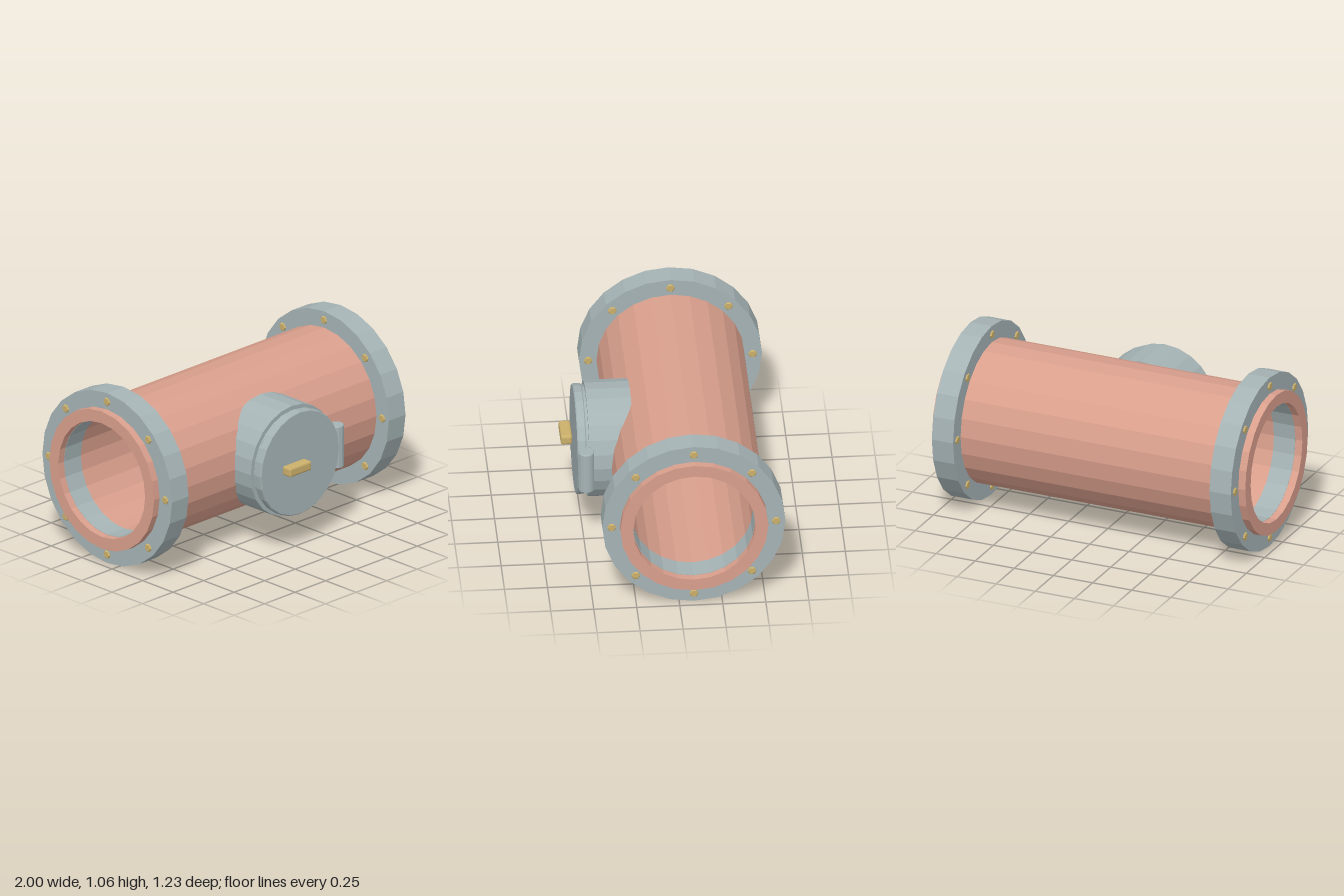
import * as THREE from 'three';
import { RoundedBoxGeometry } from 'three/addons/geometries/RoundedBoxGeometry.js';

const AXIS_Y = 0.533, AXIS_Z = -0.085; // centre line of the pipe

const material = (name, color) => {
  const m = new THREE.MeshStandardMaterial({ color });
  m.name = name;
  return m;
};

// Gives every face its own flat normal
function faceted(geometry) {
  const g = geometry.index ? geometry.toNonIndexed() : geometry;
  g.computeVertexNormals();
  return g;
}

// Revolves [radius, height] pairs about the y axis
function turned(profile, sides) {
  return new THREE.LatheGeometry(profile.map(([r, h]) => new THREE.Vector2(r, h)), sides);
}

// Square-cut ring
const ring = (inner, outer, a, b, sides) =>
  turned([[inner, a], [outer, a], [outer, b], [inner, b], [inner, a]], sides);

// Solid disc with chamfered rims
const disc = (r, a, b, c, sides) =>
  turned([[0, a], [r - c, a], [r, a + c], [r, b - c], [r - c, b], [0, b]], sides);

export function createModel() {
  const model = new THREE.Group();
  model.name = 'pipeSection';
  const copper = material('copper', 0xd99f8c);
  const steel = material('steel', 0xa5b3b5);
  const brass = material('brass', 0xcbb06b);

  function add(parent, name, geometry, mat, x = 0, y = 0, z = 0) {
    const mesh = new THREE.Mesh(faceted(geometry), mat);
    mesh.name = name;
    mesh.position.set(x, y, z);
    parent.add(mesh);
    return mesh;
  }

  // Main pipe, open at both ends
  add(model, 'pipe', ring(0.356, 0.43, -1, 1, 24).rotateZ(-Math.PI / 2), copper, 0, AXIS_Y, AXIS_Z);

  // Flange with eight through bolts at each end
  for (const side of [-1, 1]) {
    const flange = new THREE.Group();
    flange.name = side > 0 ? 'leftFlange' : 'rightFlange';
    flange.position.set(side * 0.887, AXIS_Y, AXIS_Z);
    model.add(flange);
    add(flange, 'flangeRing', ring(0.354, 0.532, -0.068, 0.068, 24).rotateZ(-Math.PI / 2), steel);
    for (let i = 0; i < 8; i++) {
      const a = i * Math.PI / 4;
      add(flange, 'bolt', disc(0.026, -0.077, 0.077, 0.005, 6).rotateZ(-Math.PI / 2), brass,
        0, Math.cos(a) * 0.478, Math.sin(a) * 0.478);
    }
  }

  // Inspection port on the front
  const port = new THREE.Group();
  port.name = 'inspectionPort';
  port.position.y = AXIS_Y;
  model.add(port);
  add(port, 'branch', disc(0.338, 0.215, 0.473, 0, 24).rotateX(Math.PI / 2), steel);
  add(port, 'gasket', disc(0.312, 0.47, 0.49, 0, 24).rotateX(Math.PI / 2), steel);
  add(port, 'lid', disc(0.322, 0.487, 0.54, 0.006, 24).rotateX(Math.PI / 2), steel);
  add(port, 'hinge', disc(0.046, -0.132, 0.132, 0.006, 16), steel, 0.342, 0, 0.493);
  add(port, 'handle', new RoundedBoxGeometry(0.178, 0.058, 0.067, 1, 0.012), brass, -0.068, 0, 0.583);

  return model;
}
